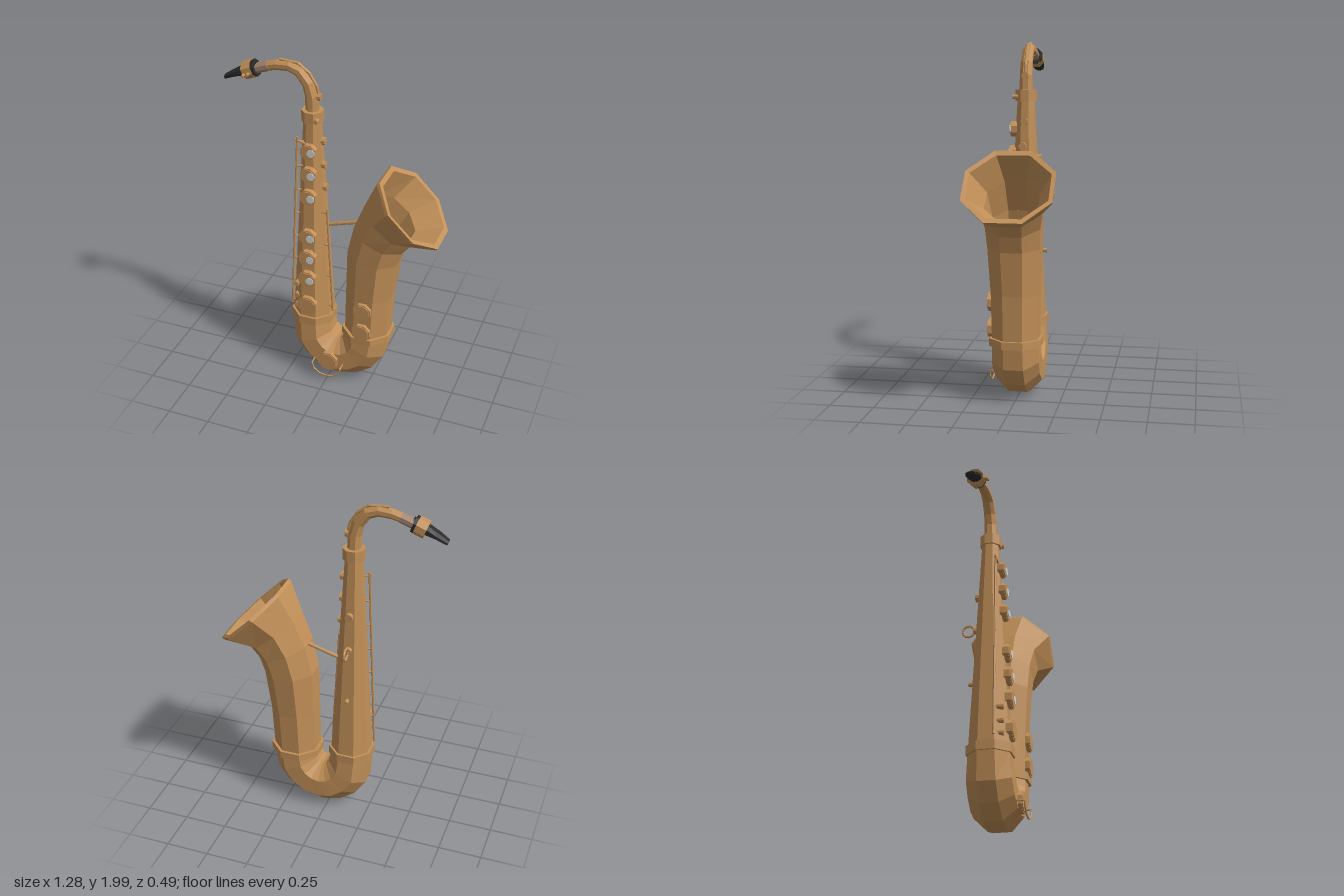
import * as THREE from 'three';

const mat = (name, color) => {
  const m = new THREE.MeshStandardMaterial({ color, flatShading: true });
  m.name = name;
  return m;
};

// Octagonal skin through rows [outerX, outerY, innerX, innerY, halfDepth?]
function skin(rows, capStart = true, capEnd = true) {
  const n = 8, pos = [], idx = [];
  for (const [ox, oy, ix, iy, d] of rows) {
    const ux = (ox - ix) / 2, uy = (oy - iy) / 2;
    const depth = d ?? Math.hypot(ux, uy);
    for (let k = 0; k < n; k++) {
      const t = (k + 0.5) * Math.PI / 4, R = 1 / Math.cos(Math.PI / 8);
      const c = R * Math.cos(t), s = R * Math.sin(t);
      pos.push((ox + ix) / 2 + ux * c, (oy + iy) / 2 + uy * c, depth * s);
    }
  }
  for (let i = 0; i < rows.length - 1; i++) {
    for (let k = 0; k < n; k++) {
      const a = i * n + k, b = i * n + (k + 1) % n;
      idx.push(a, a + n, b, b, a + n, b + n);
    }
  }
  const last = (rows.length - 1) * n;
  for (let k = 1; k < n - 1; k++) {
    if (capStart) idx.push(0, k, k + 1);
    if (capEnd) idx.push(last, last + k + 1, last + k);
  }
  const g = new THREE.BufferGeometry();
  g.setAttribute('position', new THREE.Float32BufferAttribute(pos, 3));
  g.setIndex(idx);
  g.computeVertexNormals();
  return g;
}

// Octagonal tube along centre points [x, y, halfWidth]
function tube(pts) {
  return skin(pts.map(([x, y, a], i) => {
    const p = pts[Math.max(i - 1, 0)], q = pts[Math.min(i + 1, pts.length - 1)];
    const tx = q[0] - p[0], ty = q[1] - p[1], l = Math.hypot(tx, ty);
    const ux = ty / l * a, uy = -tx / l * a;
    return [x + ux, y + uy, x - ux, y - uy];
  }));
}

export function createModel() {
  const root = new THREE.Group();
  root.name = 'saxophone';
  const brass = mat('brass', 0xc29058);
  const black = mat('black', 0x2b2b2b);
  const cork = mat('cork', 0xa58470);
  const pearl = mat('pearl', 0xd5dadd);

  const add = (name, geo, m = brass, parent = root) => {
    const mesh = new THREE.Mesh(geo, m);
    mesh.name = name;
    parent.add(mesh);
    return mesh;
  };
  const rod = (name, p, q, r, m = brass, sides = 8) => {
    const a = new THREE.Vector3(...p), b = new THREE.Vector3(...q);
    const mesh = add(name, new THREE.CylinderGeometry(r, r, a.distanceTo(b), sides, 1, false, Math.PI / 8), m);
    mesh.position.copy(a).add(b).multiplyScalar(0.5);
    mesh.quaternion.setFromUnitVectors(new THREE.Vector3(0, 1, 0), b.sub(a).normalize());
    return mesh;
  };
  // Half width of the straight tube at height y
  const half = y => 0.115 - (y - 0.37) * 0.0535;
  const cx = -0.127;

  // Straight tube, bow and bell in one skin, folding over the rim to the inside
  const outer = [
    [-0.174, 1.70, -0.083, 1.70], [-0.242, 0.37, -0.012, 0.37],
    [-0.232, 0.20, -0.002, 0.30], [-0.165, 0.10, 0.018, 0.278],
    [-0.07, 0.03, 0.03, 0.272], [0.04, 0.005, 0.042, 0.27],
    [0.16, 0.03, 0.055, 0.272], [0.26, 0.10, 0.068, 0.28],
    [0.325, 0.20, 0.08, 0.305], [0.343, 0.345, 0.086, 0.345],
    [0.357, 0.62, 0.092, 0.62], [0.39, 0.87, 0.10, 0.90],
    [0.42, 0.96, 0.14, 1.08], [0.47, 1.025, 0.205, 1.24],
    [0.62, 1.058, 0.278, 1.40, 0.24], [0.637, 1.07, 0.295, 1.414, 0.246],
  ];
  const inner = [
    [0.615, 1.09, 0.313, 1.39, 0.222], [0.46, 1.055, 0.235, 1.24],
    [0.40, 0.97, 0.16, 1.07], [0.37, 0.87, 0.12, 0.90], [0.337, 0.62, 0.112, 0.62],
  ];
  add('bodyTube', skin([...outer, ...inner]));

  // Joint collars
  add('neckCollar', tube([[cx, 1.665, 0.058], [cx, 1.73, 0.058]]));
  add('bodyCollar', tube([[cx, 0.368, 0.125], [cx, 0.42, 0.125]]));
  add('bellCollar', tube([[0.215, 0.323, 0.145], [0.215, 0.367, 0.145]]));
  rod('collarScrew', [-0.085, 1.69, 0.04], [-0.085, 1.69, 0.07], 0.013);

  // Neck, octave key, cork
  add('neck', tube([[-0.128, 1.72, 0.036], [-0.13, 1.81, 0.035], [-0.15, 1.88, 0.033],
    [-0.2, 1.943, 0.031], [-0.26, 1.963, 0.028], [-0.33, 1.958, 0.026], [-0.39, 1.942, 0.024]]));
  add('octaveKey', tube([[-0.088, 1.79, 0.008], [-0.102, 1.87, 0.008], [-0.145, 1.938, 0.008],
    [-0.205, 1.985, 0.008], [-0.315, 1.992, 0.008]]));
  rod('octaveKeyPad', [-0.105, 1.81, 0], [-0.078, 1.81, 0], 0.021);
  add('cork', tube([[-0.38, 1.945, 0.027], [-0.47, 1.914, 0.027]]), cork);

  // Mouthpiece with ligature
  add('mouthpiece', skin([[-0.45, 1.955, -0.468, 1.885, 0.036], [-0.54, 1.92, -0.555, 1.862, 0.038],
    [-0.58, 1.895, -0.59, 1.85, 0.037], [-0.64, 1.856, -0.632, 1.833, 0.026]]), black);
  add('mouthpieceRing', tube([[-0.45, 1.923, 0.045], [-0.472, 1.915, 0.045]]), black);
  add('ligature', tube([[-0.465, 1.918, 0.047], [-0.52, 1.897, 0.047]]));
  for (const [x, y] of [[-0.48, 1.9], [-0.507, 1.89]])
    rod('ligatureScrew', [x, y, 0.03], [x, y, 0.072], 0.009);

  // Round key cups facing forward
  const keyCup = (name, x, y, z, r, touch) => {
    rod(name, [x, y, z - 0.04], [x, y, z - 0.005], r);
    rod(name + 'Face', [x, y, z - 0.006], [x, y, z], r * 0.88);
    if (touch) rod(name + 'Pearl', [x + 0.02, y, z - 0.004], [x + 0.02, y, z + 0.004], 0.024, pearl);
  };
  for (const y of [1.505, 1.365, 1.225, 0.97, 0.83, 0.69])
    keyCup('fingerKey', cx, y, half(y) + 0.033, 0.047 + (1.505 - y) * 0.01, true);
  keyCup('lowKey', cx, 0.507, half(0.507) + 0.028, 0.062);
  keyCup('bellKey', 0.222, 0.565, 0.157, 0.056);
  keyCup('bellKey', 0.217, 0.413, 0.157, 0.058);
  keyCup('bowKey', 0.01, 0.145, 0.157, 0.064);

  // Wire guard around the bow key
  const guard = [new THREE.Vector3(-0.08, 0.13, 0.1), new THREE.Vector3(-0.08, 0.13, 0.175)];
  for (let i = 1; i < 6; i++) {
    const t = Math.PI * (1 + i / 6);
    guard.push(new THREE.Vector3(0.01 + 0.09 * Math.cos(t), 0.13 + 0.075 * Math.sin(t), 0.175));
  }
  guard.push(new THREE.Vector3(0.1, 0.13, 0.175), new THREE.Vector3(0.1, 0.13, 0.1));
  const wire = new THREE.CurvePath();
  for (let i = 1; i < guard.length; i++) wire.add(new THREE.LineCurve3(guard[i - 1], guard[i]));
  add('keyGuard', new THREE.TubeGeometry(wire, 36, 0.005, 6));

  // Long key rods with their posts
  const longRod = (name, x0, y0, x1, y1, z, posts) => {
    rod(name, [x0, y0, z], [x1, y1, z], 0.007, brass, 6);
    for (let i = 0; i < posts; i++) {
      const t = (i + 0.15) / (posts - 0.7), x = x0 + (x1 - x0) * t, y = y0 + (y1 - y0) * t;
      rod(name + 'Post', [x, y, z], [x + (cx - x) * 0.5, y, z * 0.8], 0.006, brass, 6);
    }
  };
  longRod('longKeyRod', -0.202, 1.57, -0.252, 0.45, 0.045, 8);
  longRod('shortKeyRod', -0.03, 1.15, 0.006, 0.45, 0.045, 4);
  rod('rodLever', [-0.218, 1.555, 0.045], [-0.15, 1.54, 0.05], 0.007, brass, 6);

  // Small side keys
  for (const [y, z] of [[1.55, 0], [1.41, 0.01], [1.27, 0.01]])
    rod('palmKey', [cx + half(y) - 0.01, y, z], [cx + half(y) + 0.022, y, z], 0.022);
  for (const y of [0.62, 0.54, 0.47])
    rod('sideKey', [-0.207, y, 0.04], [-0.207, y, 0.092], 0.016);

  // Brace between tube and bell
  rod('bellBrace', [-0.06, 1.015, 0], [0.16, 1.08, 0], 0.011);

  // Strap ring, thumb rest and thumb hook at the back
  const ring = add('strapRing', new THREE.TorusGeometry(0.034, 0.007, 6, 12));
  ring.position.set(cx, 1.13, -0.128);
  ring.rotation.y = Math.PI / 2;
  rod('strapRingBase', [cx, 1.13, -0.06], [cx, 1.13, -0.098], 0.02);
  rod('thumbRest', [cx, 1.34, -0.05], [cx, 1.34, -0.088], 0.023);
  rod('thumbHook', [cx, 0.8, -0.08], [cx, 0.8, -0.125], 0.013);

  return root;
}
